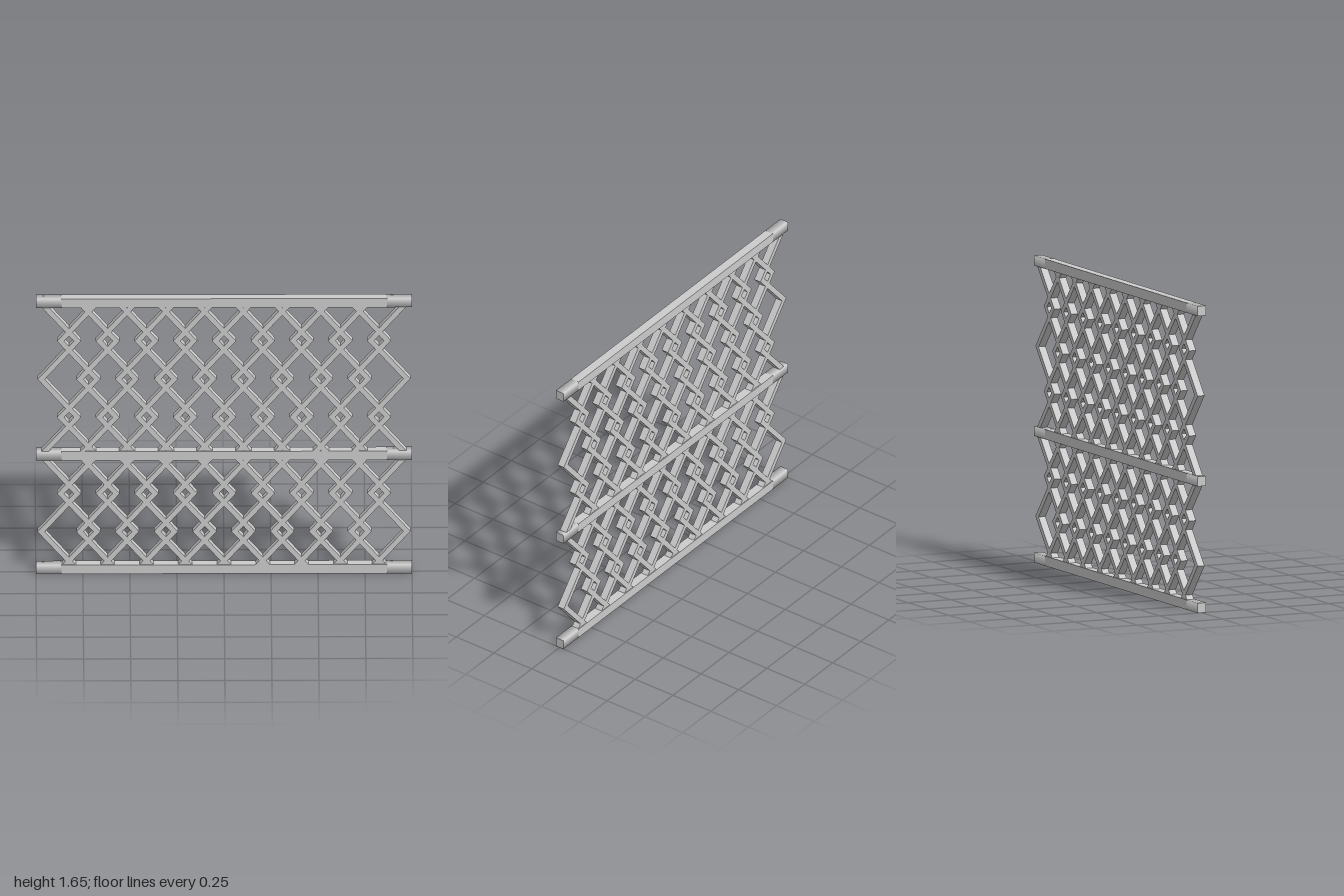
import * as THREE from 'three';

const PITCH = 0.206;      // spacing of the lattice columns
const STEP = 0.2287;      // height between zigzag tips
const BASE = 0.0215;      // lowest tip
const OVERLAP = 0.045;    // how far tips pass the knot centre
const HALF_BAR = 0.0188;  // half the bar width, measured horizontally
const DEPTH = 0.041;
const RAIL = 0.05;

// One zigzag strip; even tips sit at x0, odd tips at x1
function zigzagGeometry(x0, x1) {
  const left = [], right = [];
  for (let i = 0; i <= 7; i++) {
    const x = i % 2 ? x1 : x0, y = BASE + i * STEP;
    left.push(new THREE.Vector2(x - HALF_BAR, y));
    right.push(new THREE.Vector2(x + HALF_BAR, y));
  }
  const shape = new THREE.Shape([...right, ...left.reverse()]);
  const geometry = new THREE.ExtrudeGeometry(shape, { depth: DEPTH, bevelEnabled: false });
  return geometry.translate(0, 0, -DEPTH / 2);
}

export function createModel() {
  const model = new THREE.Group();
  const material = new THREE.MeshStandardMaterial({ color: 0xcccccc });
  const add = (parent, name, geometry, x = 0, y = 0) => {
    const mesh = new THREE.Mesh(geometry, material);
    mesh.name = name;
    mesh.position.set(x, y, 0);
    parent.add(mesh);
  };

  // Lattice: interlocking zigzags whose tips overlap in small diamond knots
  const lattice = new THREE.Group();
  lattice.name = 'lattice';
  for (let k = -4; k <= 4; k++) {
    const column = k * PITCH;
    add(lattice, 'leftZigzag', zigzagGeometry(column + OVERLAP, column - PITCH / 2 - OVERLAP));
    add(lattice, 'rightZigzag', zigzagGeometry(column - OVERLAP, column + PITCH / 2 + OVERLAP));
  }
  model.add(lattice);

  // Rails with softly shaded square end sleeves
  const endLength = 0.135, height = 0.053;
  const barGeometry = new THREE.BoxGeometry(2 - 2 * endLength, height, RAIL);
  const sleeveGeometry = new THREE.CylinderGeometry(Math.SQRT1_2, Math.SQRT1_2, endLength, 4)
    .rotateY(Math.PI / 4).rotateZ(Math.PI / 2).scale(1, height, RAIL);
  for (const [name, y] of [['bottomRail', 0.0265], ['middleRail', 0.707], ['topRail', 1.623]]) {
    const rail = new THREE.Group();
    rail.name = name;
    add(rail, 'railBar', barGeometry, 0, y);
    for (const side of [-1, 1]) add(rail, 'railEnd', sleeveGeometry, side * (1 - endLength / 2), y);
    model.add(rail);
  }
  return model;
}
